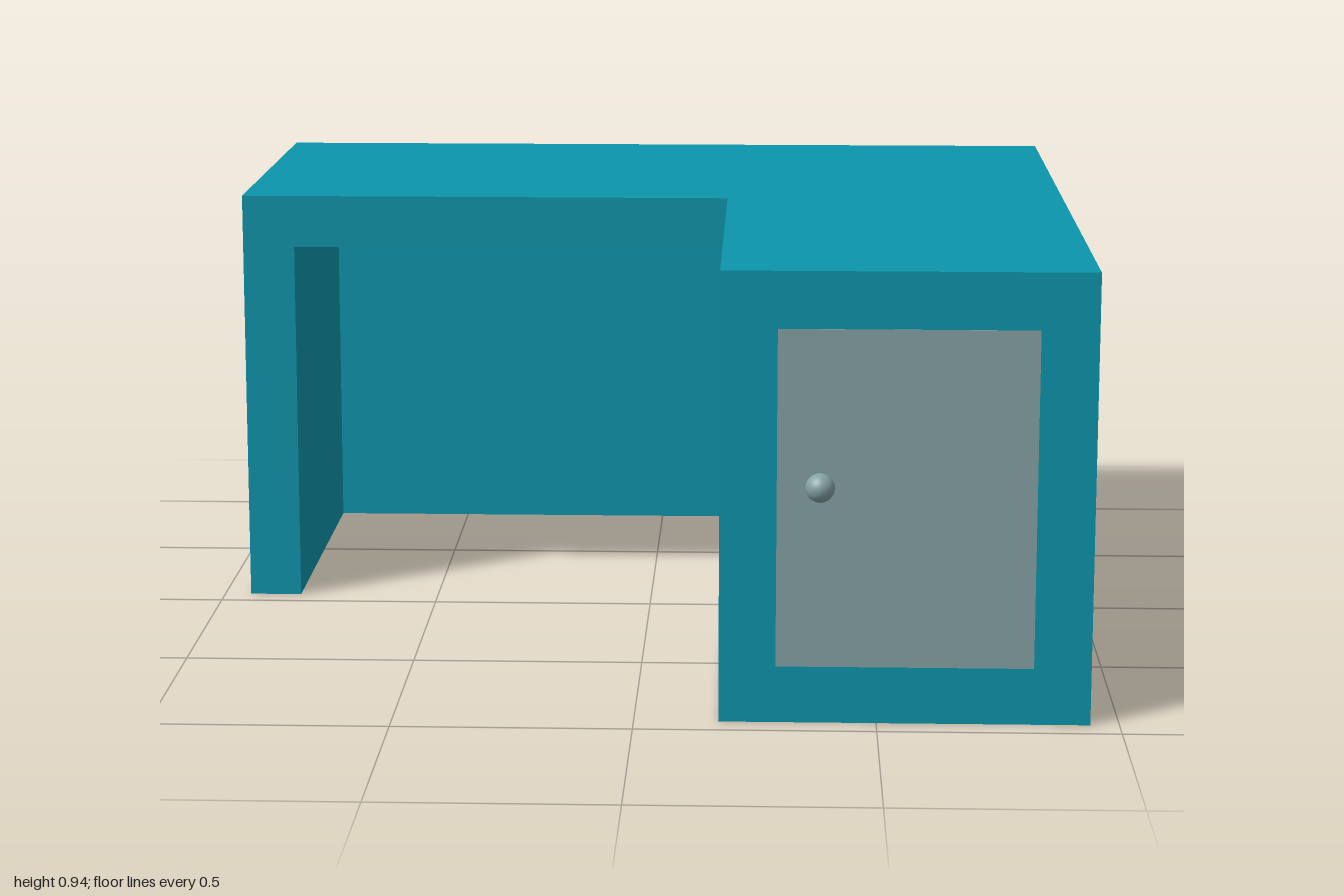
import * as THREE from 'three';

const teal = new THREE.MeshStandardMaterial({ color: 0x0c95ac });
const grey = new THREE.MeshStandardMaterial({ color: 0x84a2a5 });

// Extrude a floor plan given as [x, z] corners from height y0 to y1.
function extrudePlan(name, plan, y0, y1) {
  const shape = new THREE.Shape(plan.map(([x, z]) => new THREE.Vector2(x, -z)));
  const geometry = new THREE.ExtrudeGeometry(shape, { depth: y1 - y0, bevelEnabled: false });
  geometry.rotateX(-Math.PI / 2).translate(0, y0, 0);
  const mesh = new THREE.Mesh(geometry, teal);
  mesh.name = name;
  return mesh;
}

export function createModel() {
  const desk = new THREE.Group();
  desk.name = 'cornerDesk';

  const half = 0.94, back = -1, front = 0.94; // outer limits
  const t = 0.118; // panel thickness
  const wingFront = -0.06, pedestalX = 0.175, pedestalBack = 0.36;
  const height = 0.943, under = height - t;

  // L-shaped top slab
  desk.add(extrudePlan('deskTop', [
    [-half, back], [half, back], [half, front],
    [pedestalX, front], [pedestalX, wingFront], [-half, wingFront],
  ], under, height));

  // End panel, back panel, side panel and solid pedestal in one run
  desk.add(extrudePlan('panelsAndPedestal', [
    [-half, back], [half, back], [half, front],
    [pedestalX, front], [pedestalX, pedestalBack], [half - t, pedestalBack],
    [half - t, back + t], [-half + t, back + t],
    [-half + t, wingFront], [-half, wingFront],
  ], 0, under));

  // Door set flush in the pedestal front
  const door = new THREE.Mesh(new THREE.BoxGeometry(0.53, 0.705, 0.02), grey);
  door.name = 'cabinetDoor';
  door.position.set(0.557, 0.472, front - 0.008);
  desk.add(door);

  // Round door knob
  const knob = new THREE.Mesh(new THREE.SphereGeometry(0.03, 32, 16), grey);
  knob.name = 'doorKnob';
  knob.position.set(0.38, 0.503, 0.97);
  desk.add(knob);

  return desk;
}
